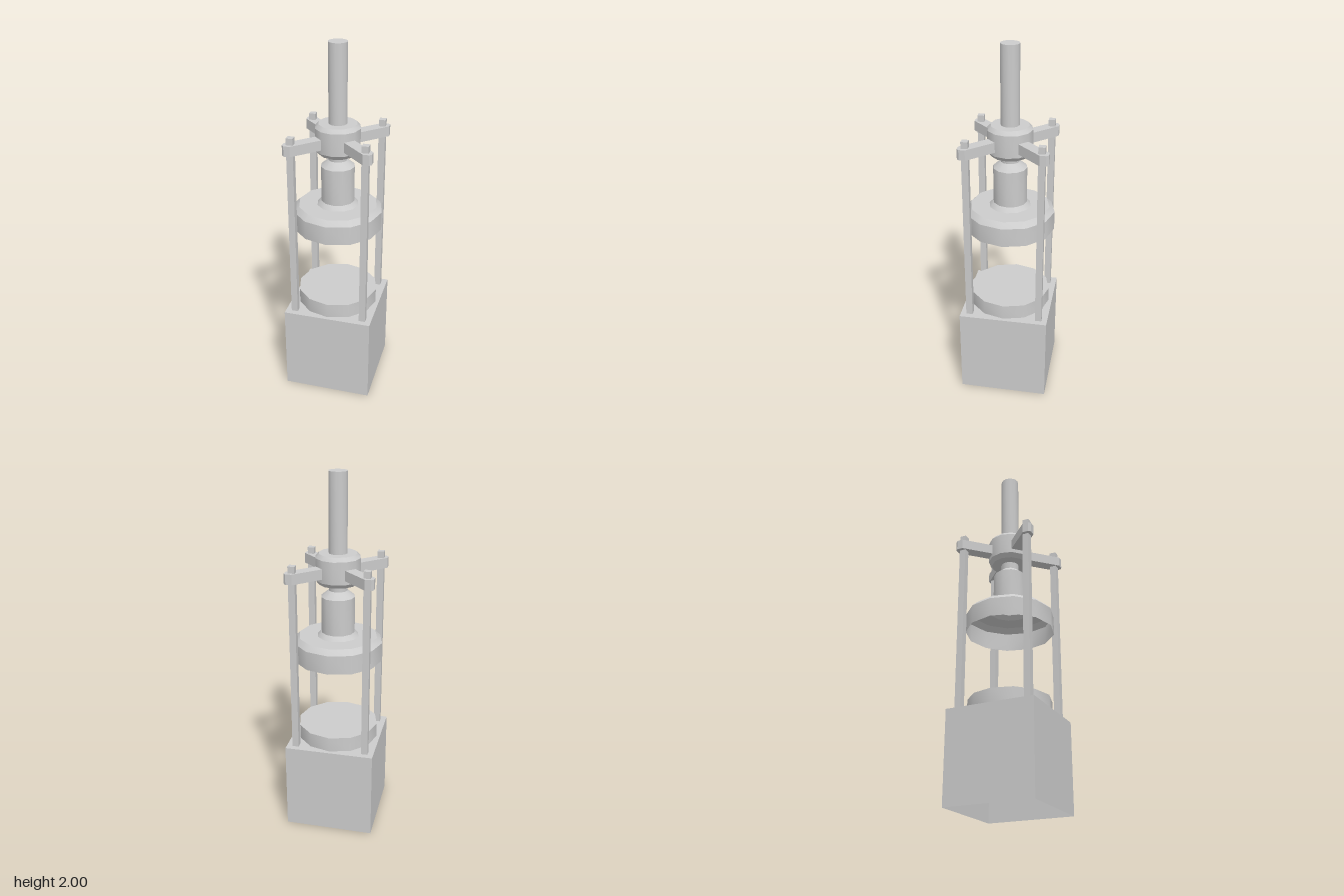
import * as THREE from 'three';
import { toCreasedNormals } from 'three/addons/utils/BufferGeometryUtils.js';

const material = new THREE.MeshStandardMaterial({ color: 0xcccccc, side: THREE.DoubleSide });

export function createModel() {
  const model = new THREE.Group();

  const add = (name, geometry, parent = model) => {
    const mesh = new THREE.Mesh(geometry, material);
    mesh.name = name;
    parent.add(mesh);
    return mesh;
  };

  // Twelve-sided turned part from [radius, height] pairs, bottom to top
  const turned = (profile) => toCreasedNormals(
    new THREE.LatheGeometry(profile.map(([r, y]) => new THREE.Vector2(r, y)), 12), 0.6);

  // Base block, hollow and open underneath
  const block = new THREE.BoxGeometry(0.494, 0.5, 0.494);
  const faces = Array.from(block.index.array);
  faces.splice(18, 6); // drop the bottom face
  block.setIndex(faces);
  block.clearGroups();
  block.translate(0, 0.25, 0);
  add('base', block);

  // Round plate on the base
  add('lowerPlate', turned([[0.227, 0.5], [0.227, 0.583], [0, 0.583]]));

  // Hollow bell with its neck and the long rod above
  add('pressHead', turned([
    [0.247, 0.98], [0.247, 1.085], [0.218, 1.113], [0.115, 1.113],
    [0.093, 1.137], [0.093, 1.338], [0.051, 1.372],
  ]));
  add('rod', turned([[0.051, 1.372], [0.051, 2], [0, 2]]));

  // Bevelled hub that guides the rod
  add('hub', turned([
    [0, 1.41], [0.104, 1.41], [0.123, 1.433],
    [0.123, 1.555], [0.104, 1.576], [0, 1.576],
  ]));

  // Arm outline: a diagonal bar with a clipped square end
  const outline = [
    [0.03, 0.075], [0.075, 0.03], [0.234, 0.189],
    [0.234, 0.222], [0.222, 0.234], [0.189, 0.234],
  ];
  const armShape = new THREE.Shape(outline.map(([x, z]) => new THREE.Vector2(x, z)));
  const armGeometry = new THREE.ExtrudeGeometry(armShape, { depth: 0.056, bevelEnabled: false });
  armGeometry.rotateX(-Math.PI / 2).translate(0, 1.455, 0);

  const postGeometry = new THREE.BoxGeometry(0.036, 1.047, 0.036);
  postGeometry.translate(0.197, 1.0235, -0.197);

  // Four posts, each tied to the hub by an arm
  for (let i = 0; i < 4; i++) {
    const corner = new THREE.Group();
    corner.name = 'cornerSupport' + (i + 1);
    corner.rotation.y = i * Math.PI / 2;
    add('arm', armGeometry, corner);
    add('post', postGeometry, corner);
    model.add(corner);
  }

  return model;
}
